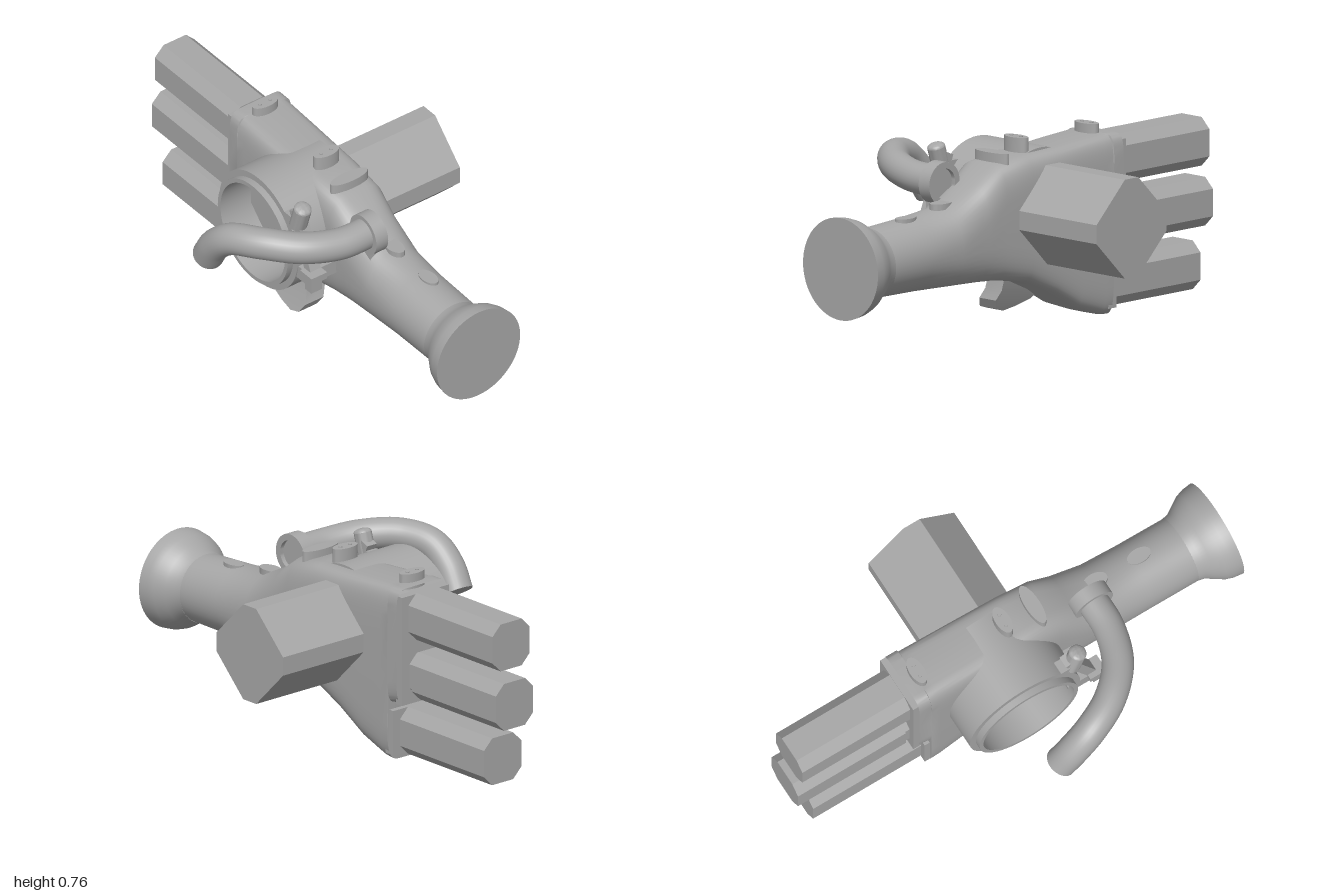
import * as THREE from 'three';
import { toCreasedNormals } from 'three/addons/utils/BufferGeometryUtils.js';

const grey = new THREE.MeshStandardMaterial({ color: 0xa6a6a6 });
grey.name = 'grey metal';
const V = (x, y, z) => new THREE.Vector3(x, y, z);

export function createModel() {
  const model = new THREE.Group();
  model.name = 'mechanicalHand';

  const add = (name, geo, x = 0, y = 0, z = 0, crease = 0.6) => {
    const mesh = new THREE.Mesh(toCreasedNormals(geo, crease), grey);
    mesh.name = name;
    mesh.position.set(x, y, z);
    model.add(mesh);
    return mesh;
  };
  const box = (name, x0, x1, y0, y1, z0, z1) =>
    add(name, new THREE.BoxGeometry(x1 - x0, y1 - y0, z1 - z0), (x0 + x1) / 2, (y0 + y1) / 2, (z0 + z1) / 2);

  const extrude = (pts, depth) => new THREE.ExtrudeGeometry(
    new THREE.Shape(pts.map(p => new THREE.Vector2(...p))), { depth, bevelEnabled: false });

  // square of half-width a whose flat sides have half-length b
  const octagonPrism = (a, b, depth) => extrude(
    [[a, -b], [a, b], [b, a], [-b, a], [-a, b], [-a, -b], [-b, -a], [b, -a]], depth);

  // skin through rounded cross-sections [x, bottom, top, back, front, squareness]
  const loft = (sections, n = 48) => {
    const pos = [], idx = [];
    const pow = (v, e) => Math.sign(v) * Math.abs(v) ** (2 / e);
    for (const [x, y0, y1, z0, z1, e] of sections) {
      for (let j = 0; j < n; j++) {
        const a = (j / n) * Math.PI * 2;
        pos.push(x, (y0 + y1) / 2 + pow(Math.sin(a), e) * (y1 - y0) / 2,
          (z0 + z1) / 2 + pow(Math.cos(a), e) * (z1 - z0) / 2);
      }
    }
    const last = sections.length - 1;
    for (let i = 0; i < last; i++) for (let j = 0; j < n; j++) {
      const k = (j + 1) % n, a = i * n, b = a + n;
      idx.push(a + j, b + j, b + k, a + j, b + k, a + k);
    }
    for (let j = 1; j < n - 1; j++) {
      idx.push(0, j, j + 1);
      idx.push(last * n, last * n + j + 1, last * n + j);
    }
    // the start cap faces -x, the end cap faces +x
    for (let t = idx.length - (n - 2) * 6; t < idx.length; t += 3) {
      [idx[t + 1], idx[t + 2]] = [idx[t + 2], idx[t + 1]];
    }
    const g = new THREE.BufferGeometry();
    g.setAttribute('position', new THREE.Float32BufferAttribute(pos, 3));
    g.setIndex(idx);
    return g;
  };

  // palm narrowing into the round forearm
  add('palmAndForearm', loft([
    [-0.455, 0.25, 0.725, -0.165, 0.1, 8],
    [-0.402, 0.24, 0.725, -0.165, 0.104, 8],
    [-0.4, 0.0, 0.725, -0.165, 0.105, 7],
    [-0.36, 0.005, 0.722, -0.165, 0.105, 7],
    [-0.23, 0.05, 0.715, -0.165, 0.105, 6.5],
    [-0.1, 0.125, 0.705, -0.165, 0.105, 6],
    [0.05, 0.19, 0.7, -0.165, 0.105, 5],
    [0.2, 0.215, 0.68, -0.165, 0.108, 4],
    [0.3, 0.218, 0.61, -0.165, 0.11, 3],
    [0.45, 0.22, 0.535, -0.165, 0.112, 2.3],
    [0.62, 0.224, 0.52, -0.165, 0.115, 2],
    [0.85, 0.227, 0.505, -0.165, 0.115, 2],
  ]));

  // flared cuff at the end of the forearm
  const cuff = new THREE.LatheGeometry([[0, 0.83], [0.14, 0.83], [0.146, 0.86], [0.165, 0.89],
    [0.19, 0.93], [0.2, 0.96], [0.205, 1], [0, 1]].map(p => new THREE.Vector2(...p)), 64);
  cuff.rotateZ(-Math.PI / 2);
  add('cuff', cuff, 0, 0.365, -0.025);

  // fingers with a narrower root each
  for (const [x, y] of [[-0.98, 0.6075], [-1, 0.365], [-0.93, 0.12]]) {
    const finger = octagonPrism(0.0975, 0.055, 0.5).rotateY(Math.PI / 2);
    add('finger', finger, x, y, -0.027, 0.3);
    const root = octagonPrism(0.09, 0.05, 0.12).rotateY(Math.PI / 2);
    add('fingerRoot', root, x + 0.48, y, -0.027, 0.3);
  }
  box('fingerBracket', -0.478, -0.44, 0.25, 0.7, -0.155, 0.09);
  box('lowerFingerBracket', -0.425, -0.38, 0.03, 0.215, -0.155, 0.09);

  // thumb block passing through the palm
  add('thumb', octagonPrism(0.198, 0.038, 0.73), -0.063, 0.458, -0.588, 0.3);

  // hollow round housing on the palm
  const housing = new THREE.LatheGeometry([[0, -0.09], [0.255, -0.09], [0.255, 0.255], [0.228, 0.255],
    [0.228, 0.283], [0.21, 0.283], [0.21, 0.115], [0, 0.115]].map(p => new THREE.Vector2(...p)), 64);
  housing.rotateX(Math.PI / 2);
  add('roundHousing', housing, -0.063, 0.458, 0);

  // curved hose with its collar
  const path = new THREE.CatmullRomCurve3([V(0.375, 0.62, 0.03), V(0.372, 0.622, 0.18), V(0.32, 0.638, 0.33),
    V(0.21, 0.647, 0.445), V(0.09, 0.622, 0.503), V(0.005, 0.55, 0.515), V(-0.055, 0.46, 0.508)]);
  add('hose', new THREE.TubeGeometry(path, 60, 0.064, 28), 0, 0, 0, 1);
  const tip = new THREE.CircleGeometry(0.064, 28);
  const tipMesh = add('hoseTip', tip, ...path.getPoint(1).toArray());
  tipMesh.lookAt(path.getPoint(1).add(path.getTangent(1)));
  const collar = new THREE.LatheGeometry([[0, 0.03], [0.06, 0.03], [0.06, 0.012], [0.086, 0.012],
    [0.086, 0.07], [0, 0.07]].map(p => new THREE.Vector2(...p)), 40);
  collar.rotateX(Math.PI / 2);
  add('hoseCollar', collar, 0.375, 0.615, 0);
  box('collarFoot', 0.33, 0.42, 0.48, 0.55, 0.012, 0.07);

  // oval studs on the top, each with two small pins
  for (const x of [-0.39, 0.008]) {
    const stud = new THREE.CylinderGeometry(0.03, 0.03, 0.09, 32).scale(1, 1, 2);
    add('topStud', stud, x, 0.715, -0.025);
    for (const dz of [-0.025, 0.025]) {
      add('studPin', new THREE.CylinderGeometry(0.008, 0.008, 0.006, 12), x, 0.761, -0.025 + dz);
    }
  }

  // raised pads on the upper side
  const pad = (name, x, y, z, sx, sz, h) =>
    add(name, new THREE.CylinderGeometry(1, 1, 1, 32).scale(sx, h, sz), x, y, z);
  pad('knucklePad', 0.15, 0.69, -0.03, 0.03, 0.09, 0.06);
  pad('wristPad', 0.44, 0.525, -0.033, 0.055, 0.033, 0.06);
  pad('forearmPad', 0.65, 0.512, -0.042, 0.052, 0.03, 0.026);

  // latch beside the housing: strap, knob and clasp
  const strap = box('latchStrap', -0.02, 0.02, -0.13, 0.13, -0.025, 0.025);
  strap.position.set(0.2, 0.56, 0.225);
  strap.rotation.z = 0.4;
  box('latchArm', 0.05, 0.18, 0.61, 0.65, 0.2, 0.255);
  const knob = add('latchKnob', new THREE.CylinderGeometry(0.036, 0.036, 0.1, 28), 0.18, 0.66, 0.232);
  knob.rotation.z = -0.3;
  const dome = add('latchDome', new THREE.SphereGeometry(0.036, 24, 8, 0, Math.PI * 2, 0, Math.PI / 2)
    .scale(1, 0.45, 1), 0.195, 0.708, 0.232);
  dome.rotation.z = -0.3;
  box('claspHead', 0.23, 0.305, 0.415, 0.445, 0.195, 0.272);
  box('claspStem', 0.25, 0.29, 0.36, 0.42, 0.208, 0.262);
  box('claspBridge', 0.14, 0.25, 0.37, 0.43, 0.09, 0.25);

  // fin below the palm, leaning forward as it drops
  const fin = extrude([[-0.18, 0.11], [-0.14, 0.08], [-0.06, 0.058], [0, 0.048], [0.045, 0.062],
    [0.065, 0.1], [0.05, 0.14], [0.04, 0.22], [-0.1, 0.22]], 0.09);
  const p = fin.attributes.position;
  for (let i = 0; i < p.count; i++) p.setZ(i, p.getZ(i) + Math.max(0, 0.17 - p.getY(i)) * 0.45);
  add('lowerFin', fin, 0, 0, 0, 0.4);

  return model;
}
